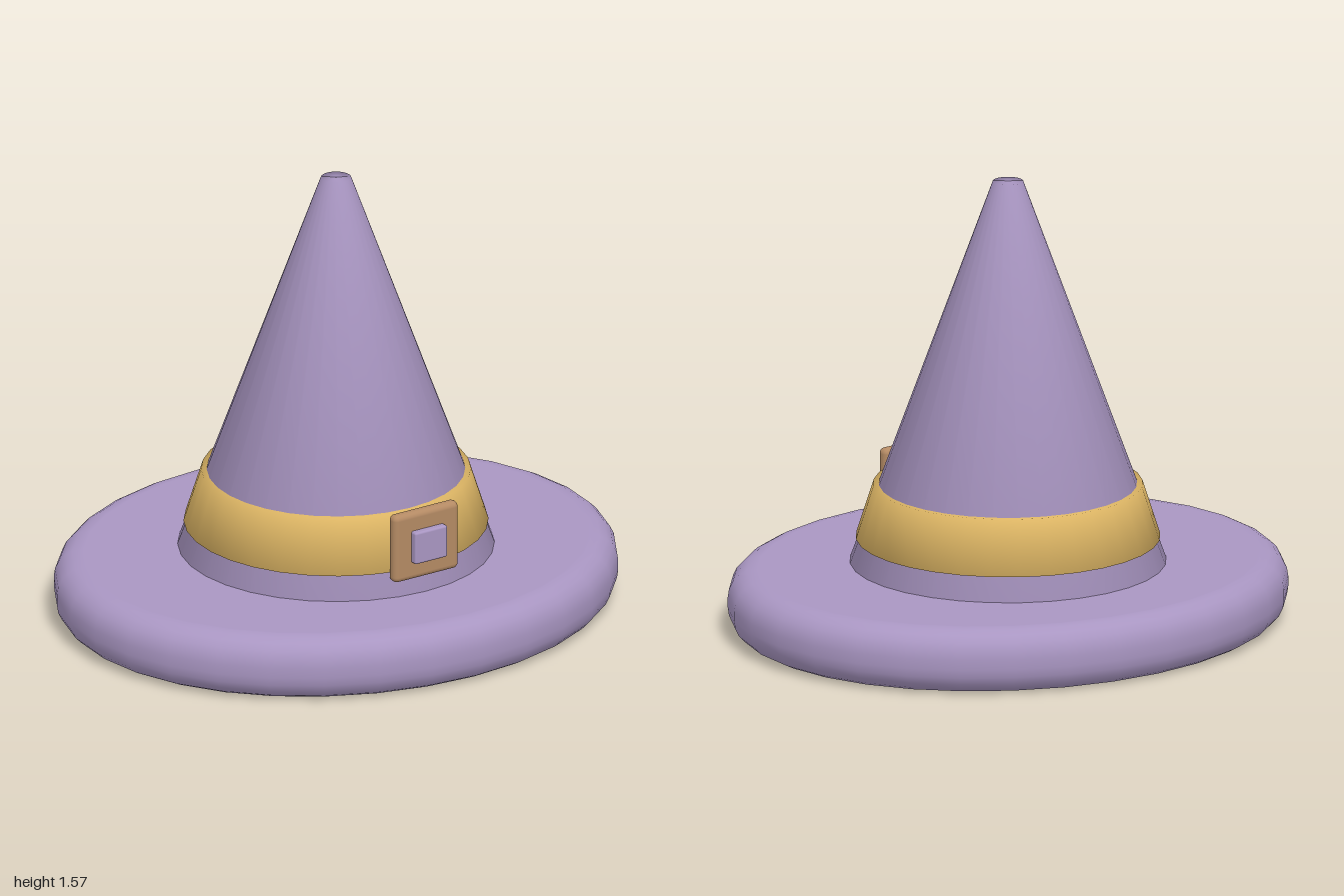
import * as THREE from 'three';
import { RoundedBoxGeometry } from 'three/addons/geometries/RoundedBoxGeometry.js';

const SEGMENTS = 32;

export function createModel() {
  const hat = new THREE.Group();
  hat.name = 'pointedHat';

  const cloth = new THREE.MeshStandardMaterial({ color: 0xa996c2 });
  const gold = new THREE.MeshStandardMaterial({ color: 0xe0b866 });
  const leather = new THREE.MeshStandardMaterial({ color: 0xb48a64 });

  const add = (name, geometry, material) => {
    const mesh = new THREE.Mesh(geometry, material);
    mesh.name = name;
    hat.add(mesh);
    return mesh;
  };
  const lathe = (points) =>
    new THREE.LatheGeometry(points.map(([r, y]) => new THREE.Vector2(r, y)), SEGMENTS);

  // Brim: thick oval disc with a rounded rim
  const bottom = 0.005, top = 0.23, corner = 0.095;
  const profile = [[0, bottom], [0.895, bottom]];
  for (const [cy, start] of [[bottom + corner, -90], [top - corner, 0]]) {
    for (let i = 0; i <= 5; i++) {
      const a = THREE.MathUtils.degToRad(start + i * 18);
      profile.push([1 - corner + corner * Math.cos(a), cy + corner * Math.sin(a)]);
    }
  }
  profile.push([0.895, top], [0, top]);
  add('brim', lathe(profile), cloth).scale.z = 0.88;

  // Crown: tall cone with a small blunt tip, its base sunk into the brim
  add('crown', lathe([[0, 0.06], [0.602, 0.06], [0.052, 1.572], [0, 1.572]]), cloth);

  // Band: tapered ring hugging the crown
  add('band', lathe([[0.4, 0.315], [0.52, 0.315], [0.46, 0.503], [0.4, 0.503]]), gold);

  // Buckle: rounded plate with a small raised square in its middle
  add('bucklePlate', new RoundedBoxGeometry(0.268, 0.246, 0.046, 3, 0.02), leather)
    .position.set(0, 0.409, 0.524);
  add('buckleCentre', new RoundedBoxGeometry(0.134, 0.116, 0.05, 2, 0.008), cloth)
    .position.set(0, 0.409, 0.547);

  return hat;
}
